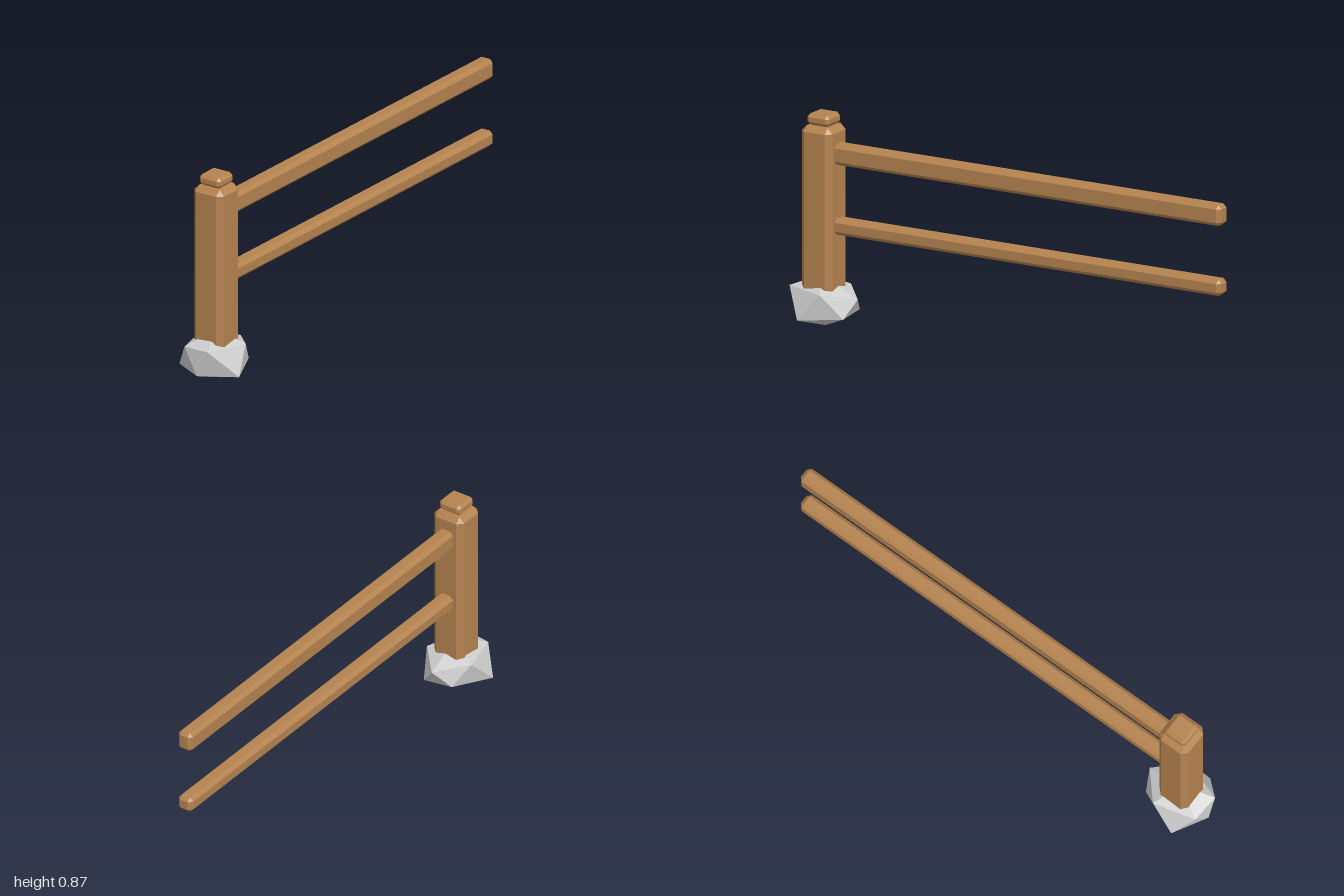
import * as THREE from 'three';
import { ConvexGeometry } from 'three/addons/geometries/ConvexGeometry.js';

const wood = new THREE.MeshStandardMaterial({ color: 0xb5834f, flatShading: true });
const stone = new THREE.MeshStandardMaterial({ color: 0xcccccc, flatShading: true });

// Box between two corners with every edge cut by a flat bevel
function beveledBox(name, min, max, bevel) {
  const lo = new THREE.Vector3(...min), hi = new THREE.Vector3(...max);
  const centre = lo.clone().add(hi).multiplyScalar(0.5);
  const half = hi.clone().sub(lo).multiplyScalar(0.5);
  const points = [];
  for (const sx of [-1, 1]) for (const sy of [-1, 1]) for (const sz of [-1, 1]) {
    for (const axis of ['x', 'y', 'z']) {
      const p = half.clone().subScalar(bevel);
      p[axis] = half[axis];
      points.push(p.multiply(new THREE.Vector3(sx, sy, sz)));
    }
  }
  const mesh = new THREE.Mesh(new ConvexGeometry(points), wood);
  mesh.name = name;
  mesh.position.copy(centre);
  return mesh;
}

// Faceted rock: two staggered rings of five corners closed by a pole at each end
function rock() {
  const top = [-0.87, 0.21, 0], bottom = [-0.865, 0, -0.01];
  const upper = [[-0.705, 0.13, 0.005], [-0.82, 0.155, 0.11], [-0.995, 0.16, 0.05],
    [-0.985, 0.155, -0.07], [-0.81, 0.155, -0.113]];
  const lower = [[-0.735, 0.057, 0.065], [-0.905, 0.046, 0.138], [-1, 0.05, 0],
    [-0.92, 0.046, -0.14], [-0.74, 0.07, -0.067]];
  const corners = [];
  for (let i = 0; i < 5; i++) {
    const j = (i + 1) % 5;
    corners.push(top, upper[j], upper[i]);
    corners.push(upper[i], upper[j], lower[i]);
    corners.push(lower[i], upper[j], lower[j]);
    corners.push(bottom, lower[i], lower[j]);
  }
  const geometry = new THREE.BufferGeometry();
  geometry.setAttribute('position', new THREE.Float32BufferAttribute(corners.flat(), 3));
  geometry.computeVertexNormals();
  const mesh = new THREE.Mesh(geometry, stone);
  mesh.name = 'baseRock';
  return mesh;
}

export function createModel() {
  const fence = new THREE.Group();
  fence.name = 'fence';
  fence.add(
    rock(),
    // Post and its cap
    beveledBox('post', [-0.937, 0.09, -0.072], [-0.795, 0.826, 0.072], 0.023),
    beveledBox('postCap', [-0.918, 0.826, -0.052], [-0.814, 0.873, 0.052], 0.014),
    // Rails running out from the post
    beveledBox('upperRail', [-0.83, 0.673, -0.034], [1, 0.758, 0.034], 0.015),
    beveledBox('lowerRail', [-0.83, 0.387, -0.034], [1, 0.453, 0.034], 0.015),
  );
  return fence;
}
